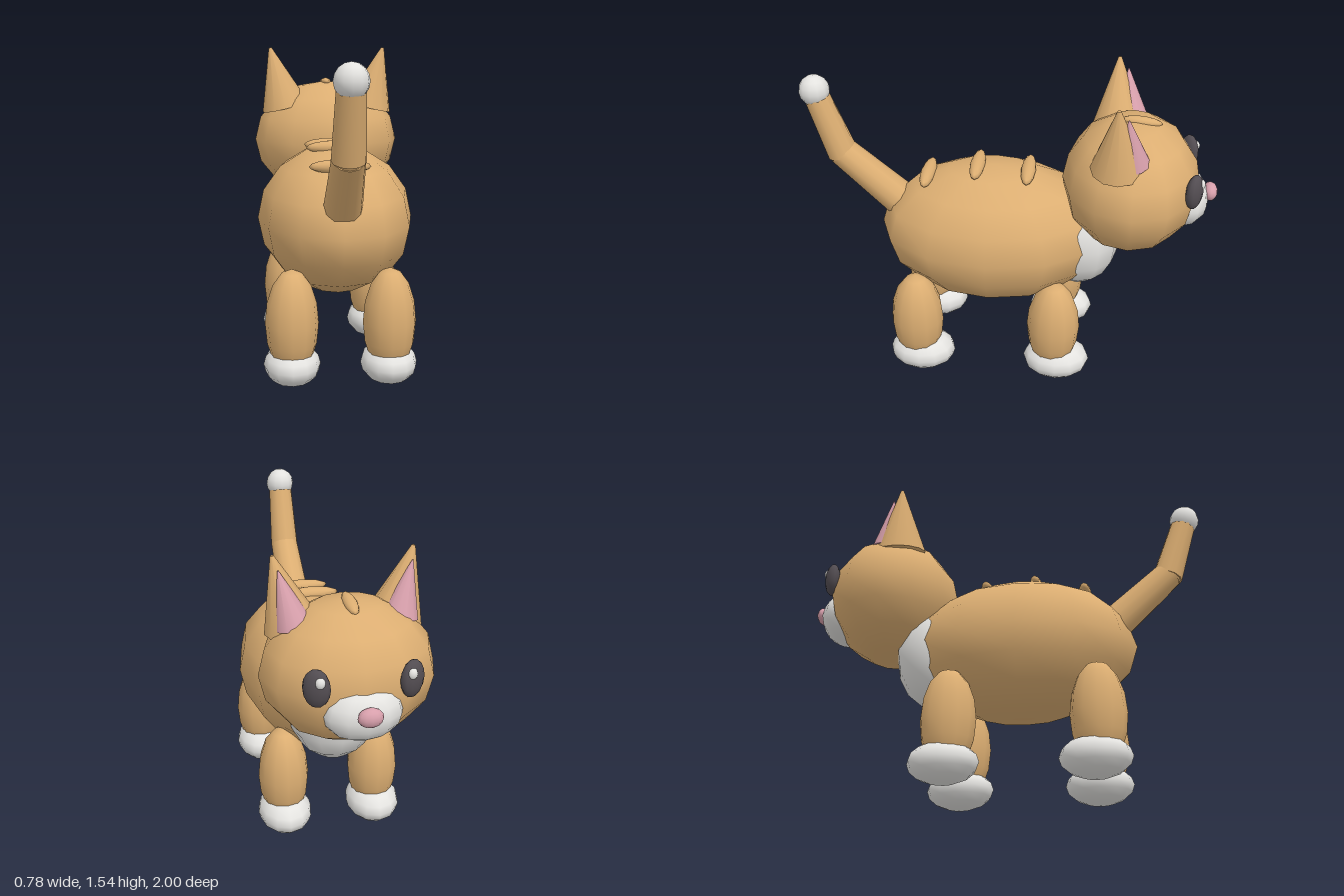
import * as THREE from 'three';

const paint = (name, color) => {
  const m = new THREE.MeshStandardMaterial({ color });
  m.name = name;
  return m;
};

export function createModel() {
  const cat = new THREE.Group();
  cat.name = 'cat';
  const tan = paint('tan fur', 0xdcae72);
  const white = paint('white fur', 0xe4e3e0);
  const pink = paint('pink', 0xd8a0ac);
  const dark = paint('dark eye', 0x534d52);

  const add = (name, geometry, material) => {
    const mesh = new THREE.Mesh(geometry, material);
    mesh.name = name;
    cat.add(mesh);
    return mesh;
  };

  // Ellipsoid from centre and radii
  const blob = (name, material, centre, radii) => {
    const geometry = new THREE.SphereGeometry(1, 12, 8);
    geometry.scale(...radii);
    const mesh = add(name, geometry, material);
    mesh.position.set(...centre);
    return mesh;
  };

  // Tapered round bar from point a (radius ra) to point b (radius rb)
  const bar = (name, material, a, b, ra, rb) => {
    const from = new THREE.Vector3(...a);
    const to = new THREE.Vector3(...b);
    const axis = to.clone().sub(from);
    const mesh = add(name, new THREE.CylinderGeometry(rb, ra, axis.length(), 12), material);
    mesh.position.copy(from).add(to).multiplyScalar(0.5);
    mesh.quaternion.setFromUnitVectors(new THREE.Vector3(0, 1, 0), axis.normalize());
    return mesh;
  };

  // Trunk and head; the animal looks towards -z
  blob('body', tan, [0, 0.725, 0.08], [0.378, 0.355, 0.565]);
  blob('chest', white, [0, 0.72, -0.35], [0.22, 0.27, 0.205]);
  blob('head', tan, [0, 1.035, -0.583], [0.39, 0.32, 0.327]);
  blob('muzzle', white, [0, 0.96, -0.84], [0.175, 0.127, 0.12]);
  blob('nose', pink, [0, 0.995, -0.963], [0.055, 0.043, 0.035]);

  // Raised stripes on the back and forehead
  for (const [y, z] of [[1.017, 0.4], [1.075, 0.155], [1.06, -0.092]]) {
    blob('backStripe', tan, [0, y, z], [0.142, 0.033, 0.036]);
  }
  blob('foreheadStripe', tan, [0, 1.345, -0.615], [0.03, 0.024, 0.095]).rotation.x = -0.1;

  for (const s of [1, -1]) {
    const side = s > 0 ? 'plusX' : 'minusX';

    // Legs and paws
    for (const [name, z] of [['hind', 0.447], ['fore', -0.244]]) {
      blob(`${name}Leg_${side}`, tan, [s * 0.226, 0.3, z], [0.124, 0.255, 0.132]);
      blob(`${name}Paw_${side}`, white, [s * 0.226, 0.097, z - 0.02], [0.133, 0.097, 0.167]);
    }

    // Ears with pink inner cones
    bar(`ear_${side}`, tan, [s * 0.225, 1.22, -0.512], [s * 0.304, 1.535, -0.5], 0.126, 0.008);
    bar(`innerEar_${side}`, pink, [s * 0.23, 1.25, -0.572], [s * 0.288, 1.485, -0.545], 0.083, 0.003);

    // Eyes turned outwards, with highlights
    blob(`eye_${side}`, dark, [s * 0.2, 1.1, -0.866], [0.06, 0.085, 0.036]).rotation.y = -s * 0.5;
    blob(`eyeHighlight_${side}`, white, [s * 0.19, 1.135, -0.893], [0.022, 0.026, 0.02]);
  }

  // Bent tail with a white tip
  bar('tailBase', tan, [0, 0.82, 0.505], [0, 1.115, 0.825], 0.09, 0.072);
  blob('tailJoint', tan, [0, 1.115, 0.822], [0.07, 0.07, 0.07]);
  bar('tailEnd', tan, [0, 1.1, 0.818], [0, 1.42, 0.925], 0.074, 0.06);
  blob('tailTip', white, [0, 1.427, 0.926], [0.074, 0.076, 0.074]);

  return cat;
}
